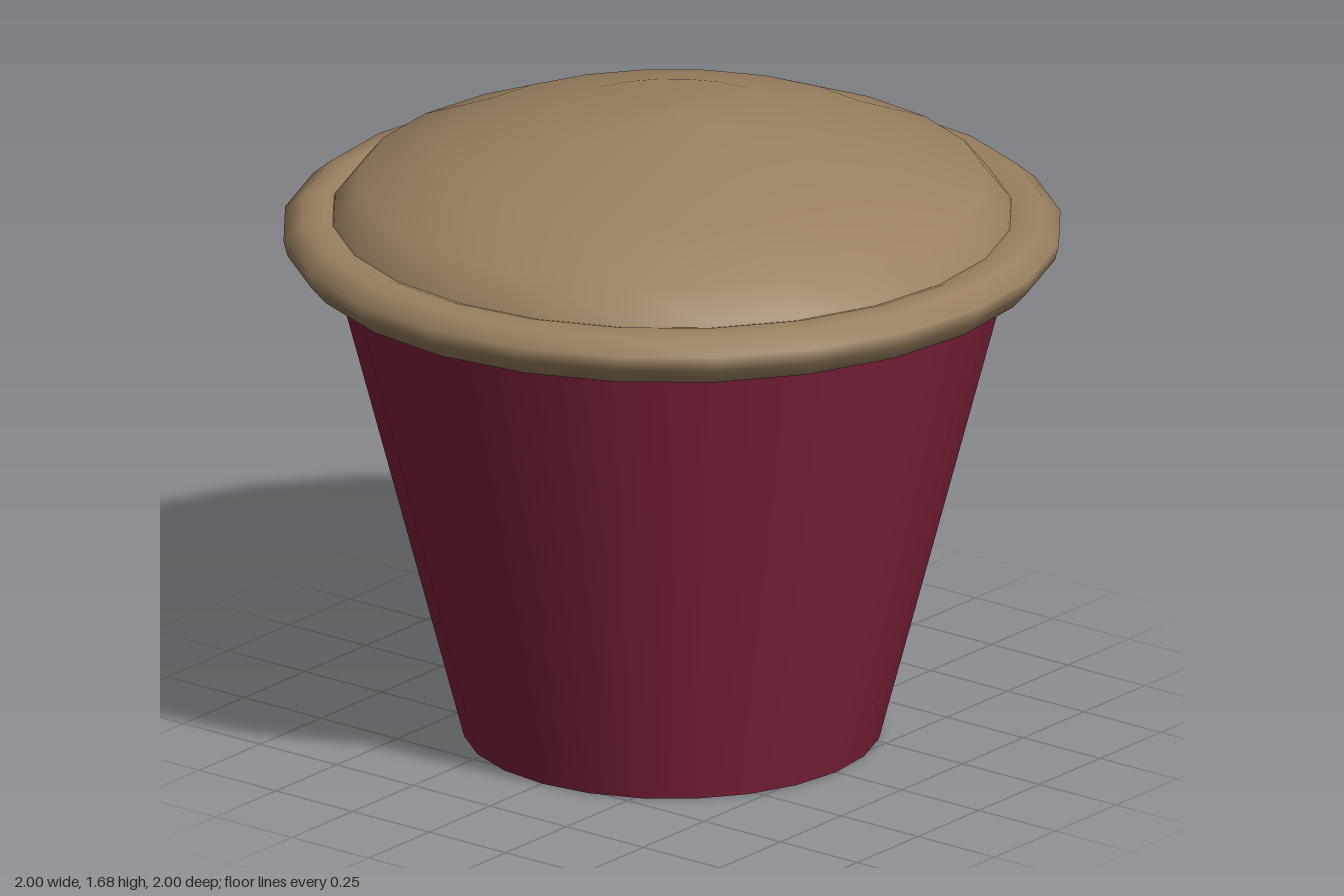
import * as THREE from 'three';

const SEGMENTS = 24;

// Smooth solid of revolution from [radius, height] pairs, listed bottom to top
function turned(name, points, material) {
  const profile = points.map(([r, y]) => new THREE.Vector2(r, y));
  const mesh = new THREE.Mesh(new THREE.LatheGeometry(profile, SEGMENTS), material);
  mesh.name = name;
  return mesh;
}

export function createModel() {
  const group = new THREE.Group();
  group.name = 'cupWithDomedLid';
  const cupMaterial = new THREE.MeshStandardMaterial({ color: 0x802239 });
  const lidMaterial = new THREE.MeshStandardMaterial({ color: 0x9a8060 });

  // Tapered cup with a flat base, reaching up into the rim
  const bottom = 0.535, top = 0.875, height = 1.3;
  const cup = new THREE.Mesh(new THREE.CylinderGeometry(top, bottom, height, SEGMENTS), cupMaterial);
  cup.name = 'cup';
  cup.position.y = height / 2;
  group.add(cup);

  // Rounded rim overhanging the cup
  group.add(turned('rim', [
    [0.8, 1.27], [0.89, 1.265], [0.95, 1.28], [0.99, 1.325],
    [1.0, 1.365], [0.955, 1.403], [0.9, 1.41], [0.84, 1.39],
  ], lidMaterial));

  // Shallow dome rising from inside the rim
  group.add(turned('dome', [
    [0.885, 1.37], [0.87, 1.41], [0.805, 1.49], [0.6, 1.575], [0.3, 1.657], [0, 1.685],
  ], lidMaterial));

  return group;
}
